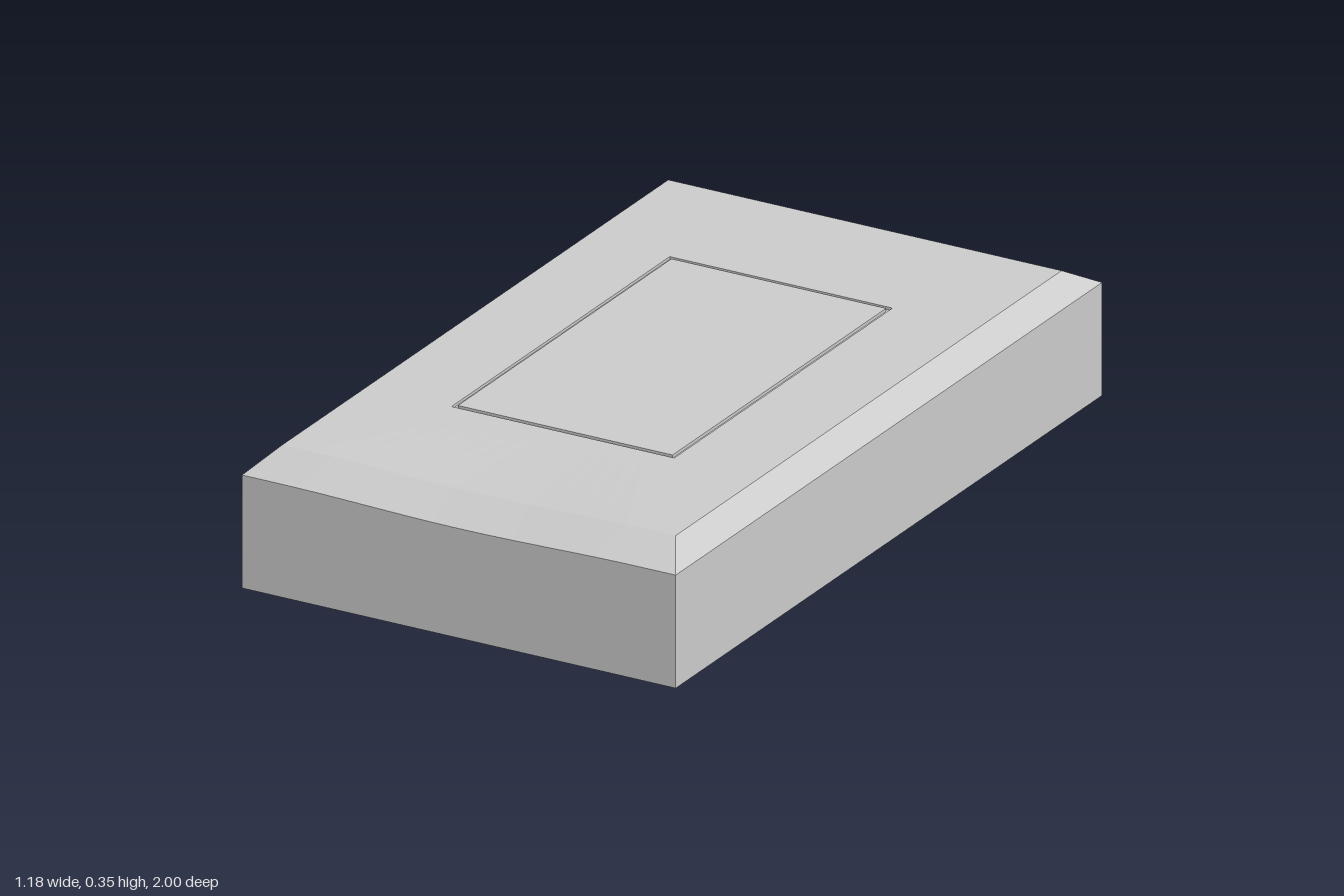
import * as THREE from 'three';

const SEGMENTS = 16; // steps along each side of a rectangular ring

// Shallow sag in the middle of the front edge, fading out toward the panel
function sag(x, y, z) {
  if (y < 0.2) return 0;
  const across = Math.abs(x) < 0.5 ? Math.cos(Math.PI * x) ** 2 : 0;
  const along = THREE.MathUtils.clamp((z - 0.51) / 0.4, 0, 1);
  return 0.009 * across * along;
}

// Rectangle of points, counter-clockwise seen from above, starting front right
function ring([w, d, y]) {
  const corners = [[-w, d], [w, d], [w, -d], [-w, -d]];
  const points = [];
  corners.forEach(([x0, z0], i) => {
    const [x1, z1] = corners[(i + 1) % 4];
    for (let s = 0; s < SEGMENTS; s++) {
      const x = THREE.MathUtils.lerp(x0, x1, s / SEGMENTS);
      const z = THREE.MathUtils.lerp(z0, z1, s / SEGMENTS);
      points.push([x, y - sag(x, y, z), z]);
    }
  });
  return points;
}

// Skin through successive rectangles given as [half width, half depth, height]
function skin(name, sections) {
  const rings = sections.map(ring);
  const positions = [];
  for (let r = 0; r < rings.length - 1; r++) {
    const low = rings[r], high = rings[r + 1], n = low.length;
    for (let i = 0; i < n; i++) {
      const j = (i + 1) % n;
      if (sections[r][0] > 0) positions.push(...low[i], ...low[j], ...high[j]);
      if (sections[r + 1][0] > 0) positions.push(...low[i], ...high[j], ...high[i]);
      else if (sections[r][0] === 0) continue;
    }
  }
  const geometry = new THREE.BufferGeometry();
  geometry.setAttribute('position', new THREE.Float32BufferAttribute(positions, 3));
  geometry.computeVertexNormals();
  const mesh = new THREE.Mesh(
    geometry,
    new THREE.MeshStandardMaterial({ color: 0xcccccc, flatShading: true })
  );
  mesh.name = name;
  return mesh;
}

export function createModel() {
  const group = new THREE.Group();
  group.name = 'chamferedSlab';

  // Underside, walls, chamfer, top border and groove
  group.add(skin('body', [
    [0, 0, 0],
    [0.59, 1, 0],
    [0.59, 1, 0.29],
    [0.535, 0.905, 0.344],
    [0.303, 0.512, 0.345],
    [0.303, 0.512, 0.338],
    [0.292, 0.501, 0.338],
  ]));

  // Inset panel inside the groove
  group.add(skin('topPanel', [
    [0.292, 0.501, 0.338],
    [0.292, 0.501, 0.346],
    [0, 0, 0.346],
  ]));

  return group;
}
